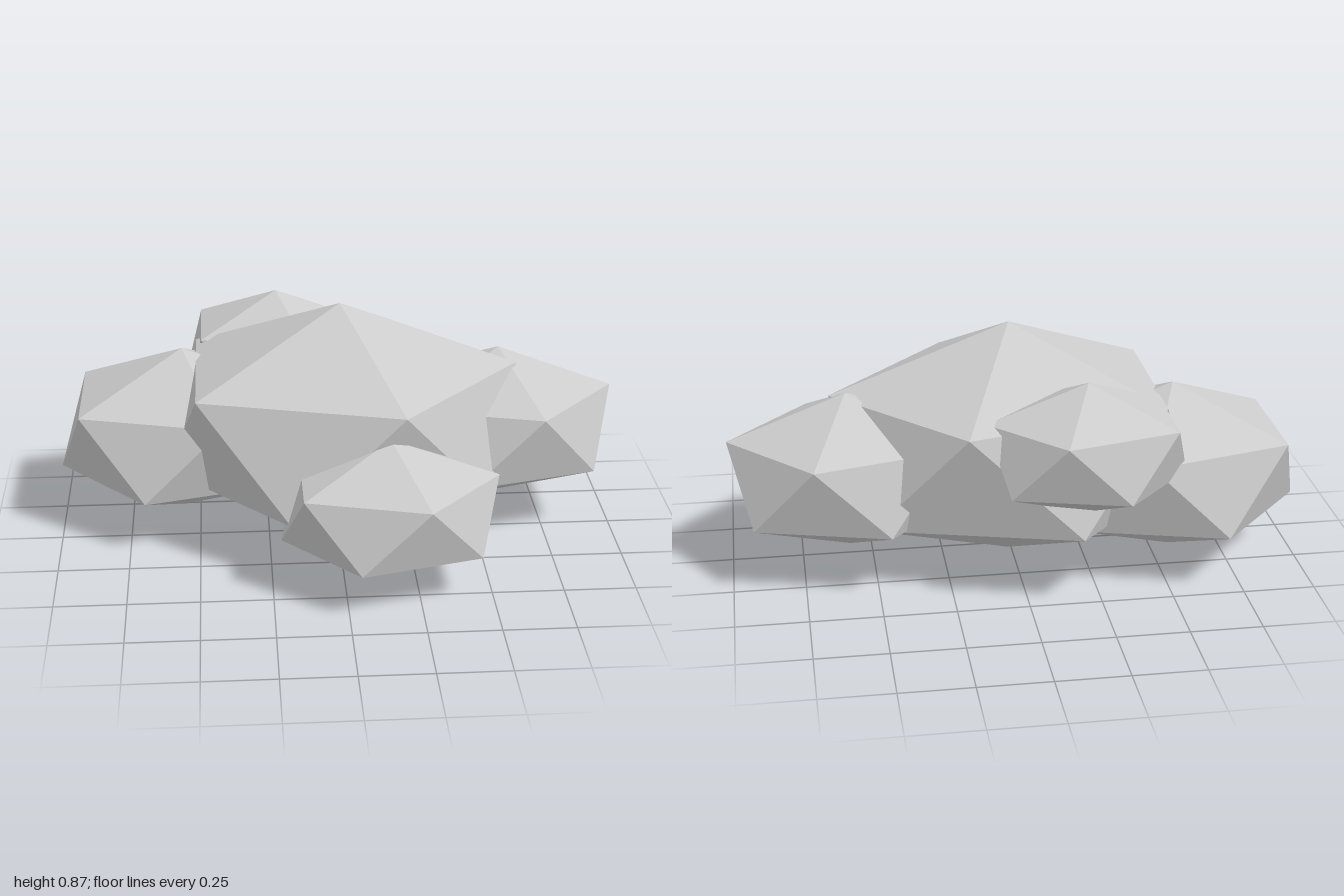
import * as THREE from 'three';
import { ConvexGeometry } from 'three/addons/geometries/ConvexGeometry.js';

const material = new THREE.MeshStandardMaterial({ color: 0xcccccc, flatShading: true });

// Stretched icosahedron standing on a vertex; rx and rz are the radii of its two five-sided rings.
function puff(name, [x, y, z], rx, ry, rz) {
  const points = [new THREE.Vector3(0, ry, 0), new THREE.Vector3(0, -ry, 0)];
  for (let i = 0; i < 10; i++) {
    const a = (i * Math.PI) / 5;
    const side = i % 2 ? -1 : 1; // upper and lower ring corners alternate
    points.push(new THREE.Vector3(rx * Math.cos(a), (side * ry) / Math.sqrt(5), rz * Math.sin(a)));
  }
  const mesh = new THREE.Mesh(new ConvexGeometry(points), material);
  mesh.name = name;
  mesh.position.set(x, y, z);
  return mesh;
}

export function createModel() {
  const cloud = new THREE.Group();
  cloud.name = 'cloud';
  cloud.add(
    puff('mainPuff', [0.01, 0.435, -0.04], 0.63, 0.435, 0.495),
    puff('rightPuff', [-0.55, 0.352, -0.165], 0.45, 0.312, 0.363),
    puff('leftPuff', [0.585, 0.377, -0.108], 0.413, 0.287, 0.329),
    puff('frontPuff', [0.153, 0.289, 0.4], 0.372, 0.254, 0.294),
    puff('backPuff', [-0.203, 0.545, -0.425], 0.343, 0.235, 0.266)
  );
  return cloud;
}
